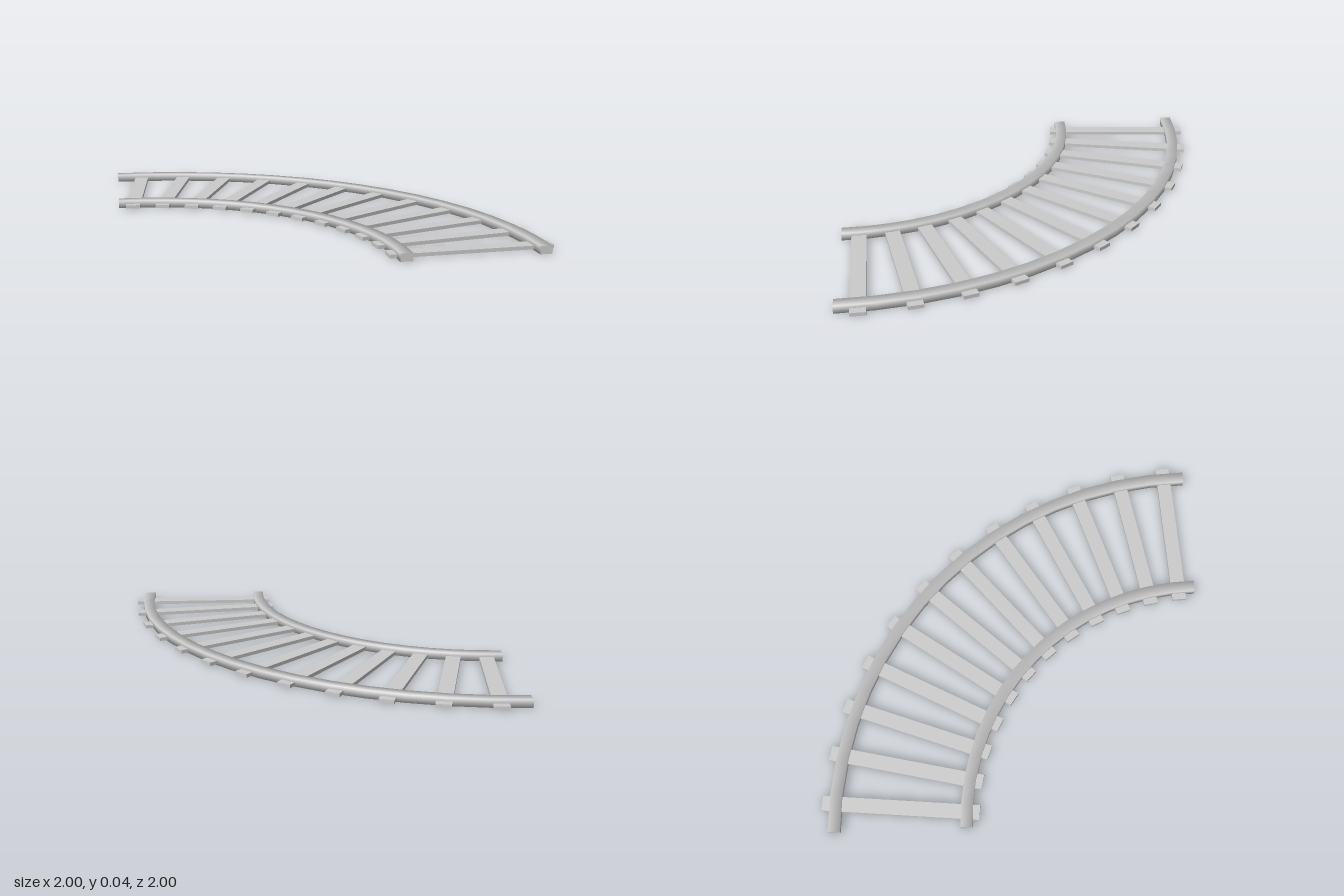
import * as THREE from 'three';

const material = new THREE.MeshStandardMaterial({ color: 0xcccccc });
const rad = THREE.MathUtils.degToRad;

// Quarter circle rail around the local origin: a long box bent along its z axis.
function makeRail(name, radius) {
  const width = 0.06, height = 0.04, segments = 16;
  const geo = new THREE.BoxGeometry(width, height, 1, 1, 1, segments);
  const pos = geo.attributes.position, nor = geo.attributes.normal;
  for (let i = 0; i < pos.count; i++) {
    const side = Math.sign(pos.getX(i)), up = Math.sign(pos.getY(i));
    const a = (0.5 - pos.getZ(i)) * Math.PI / 2;
    const r = radius + pos.getX(i);
    const isEnd = Math.abs(nor.getZ(i)) > 0.5;
    pos.setXYZ(i, r * Math.cos(a), pos.getY(i) + height / 2, -r * Math.sin(a));
    // Soft shading around the section, flat caps at both ends
    const n = isEnd
      ? new THREE.Vector3(0, 0, nor.getZ(i))
      : new THREE.Vector3(side, up, 0).normalize();
    n.applyAxisAngle(new THREE.Vector3(0, 1, 0), a);
    nor.setXYZ(i, n.x, n.y, n.z);
  }
  const rail = new THREE.Mesh(geo, material);
  rail.name = name;
  return rail;
}

export function createModel() {
  const track = new THREE.Group();
  track.name = 'curvedTrack';

  // The bend is centred on the back-left corner of the footprint
  const bend = new THREE.Group();
  bend.name = 'bend';
  bend.position.set(-1, 0, 1);
  track.add(bend);

  bend.add(makeRail('innerRail', 1.265), makeRail('outerRail', 1.93));

  // Twelve sleepers fanned across the rails, each turned slightly off radial
  const sleeperGeo = new THREE.BoxGeometry(0.8, 0.018, 0.075);
  for (let i = 0; i < 12; i++) {
    const a = rad(3.5 + 7.5 * i);
    const sleeper = new THREE.Mesh(sleeperGeo, material);
    sleeper.name = `sleeper${i + 1}`;
    sleeper.position.set(1.599 * Math.cos(a), 0.013, -1.599 * Math.sin(a));
    sleeper.rotation.y = a - rad(1.5);
    bend.add(sleeper);
  }
  return track;
}
